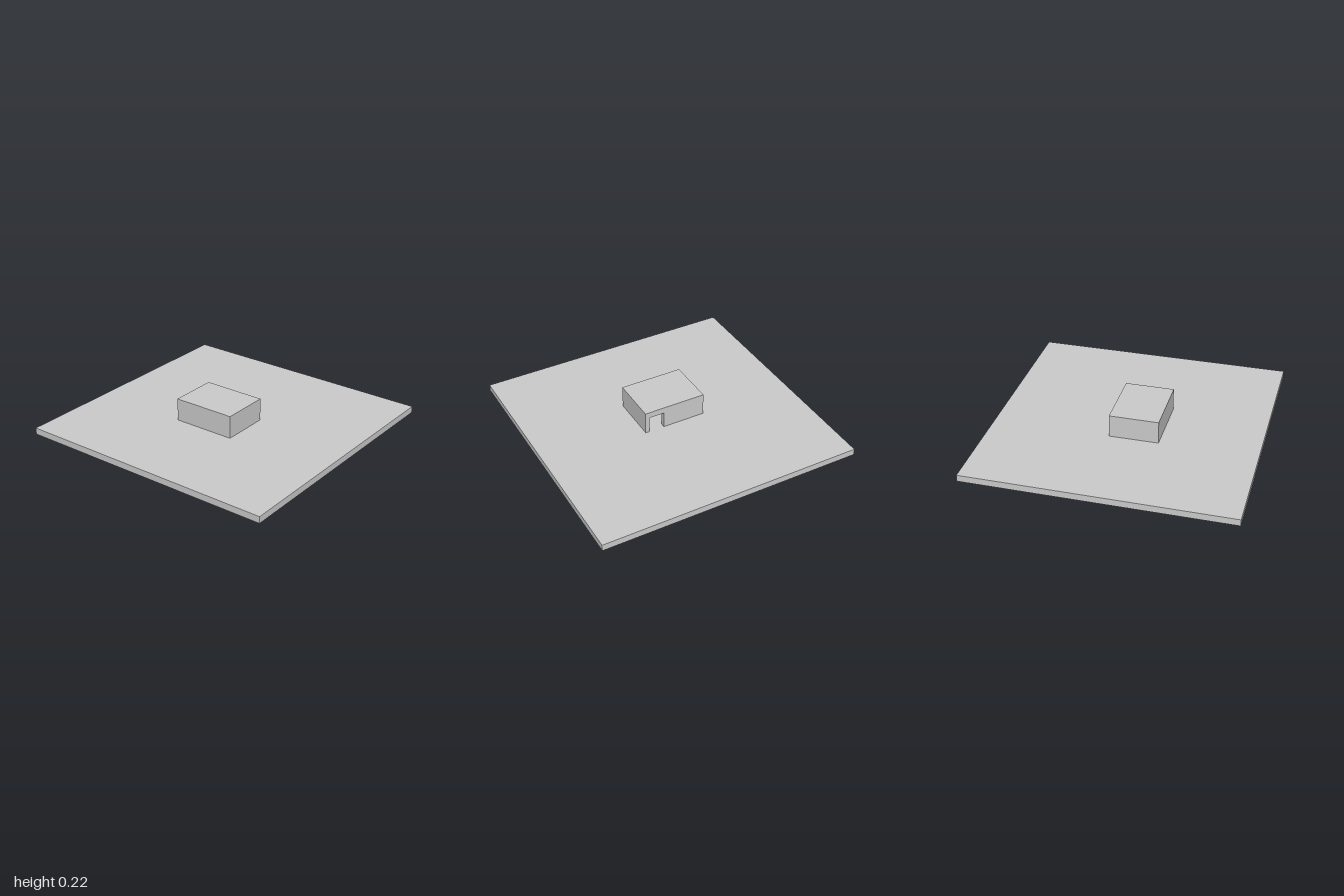
import * as THREE from 'three';

const material = new THREE.MeshStandardMaterial({ color: 0xcccccc });

export function createModel() {
  const group = new THREE.Group();
  group.name = 'hutOnPlot';

  const add = (name, geometry) => {
    const mesh = new THREE.Mesh(geometry, material);
    mesh.name = name;
    group.add(mesh);
    return mesh;
  };
  // Box given by its limits on each axis
  const box = (name, [x0, x1], [y0, y1], [z0, z1]) =>
    add(name, new THREE.BoxGeometry(x1 - x0, y1 - y0, z1 - z0))
      .position.set((x0 + x1) / 2, (y0 + y1) / 2, (z0 + z1) / 2);

  const ground = 0.05, top = 0.222, wall = 0.035;
  const left = -0.26, right = 0.107, back = -0.263, front = 0.218;

  // Flat plot
  box('groundSlab', [-0.985, 0.985], [0, ground], [-1, 1]);

  // Plain walls around a hollow room
  box('frontWall', [left, right - wall], [ground, top], [front - wall, front]);
  box('backWall', [left, right - wall], [ground, top], [back, back + wall]);
  box('sideWall', [left, left + wall], [ground, top], [back + wall, front - wall]);

  // Wall with the doorway, drawn as a z-y outline and extruded towards -x
  const doorBack = 0.068, doorFront = 0.187, doorTop = 0.175;
  const outline = new THREE.Shape([
    [back, ground], [doorBack, ground], [doorBack, doorTop], [doorFront, doorTop],
    [doorFront, ground], [front, ground], [front, top], [back, top],
  ].map(([z, y]) => new THREE.Vector2(z, y)));
  const doorWall = new THREE.ExtrudeGeometry(outline, { depth: wall, bevelEnabled: false });
  doorWall.rotateY(-Math.PI / 2);
  add('doorWall', doorWall).position.x = right;

  // Flat roof set between the walls
  box('roof', [left + wall, right - wall], [top - 0.03, top], [back + wall, front - wall]);

  return group;
}
